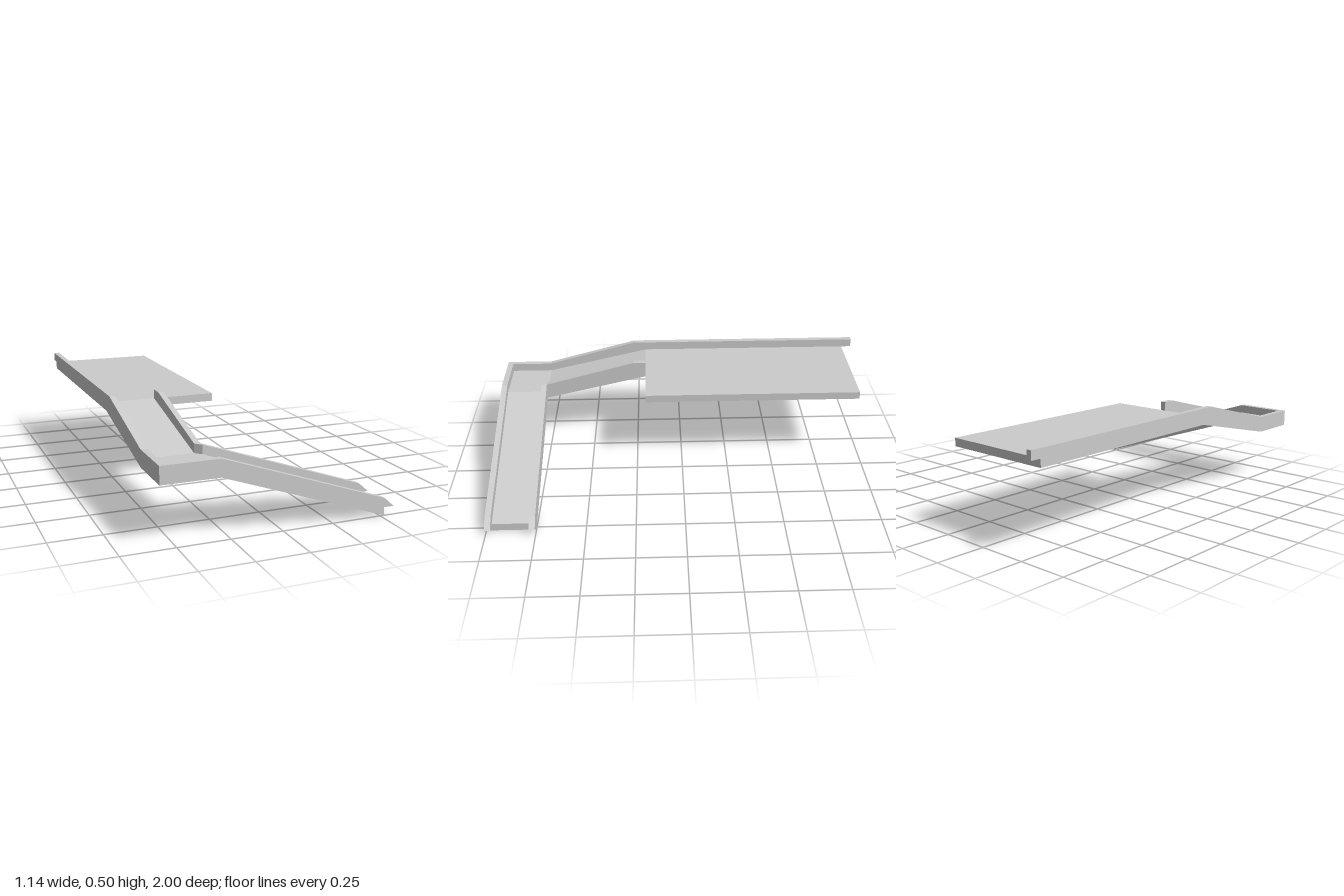
import * as THREE from 'three';

const material = new THREE.MeshStandardMaterial({ color: 0xcccccc, flatShading: true, side: THREE.DoubleSide });

// Outer and inner edges of the walkway
const L = -0.573, LI = -0.545, RI = -0.325, R = -0.297, END = 0.52, TIP = 0.571;
const FRONT = 1, FRONT_IN = 0.97, BACK_IN = 0.78, BACK = 0.75, TOP_Z = 0.195, CREST = 0.26;
// Heights: underside, walking surface and curb top at the landing and the platform
const LOW = 0.285, LOW_F = 0.325, LOW_C = 0.369;
const HIGH = 0.413, HIGH_F = 0.453, HIGH_C = 0.498;

function extrude(points, depth) {
  const shape = new THREE.Shape(points.map(([x, y]) => new THREE.Vector2(x, y)));
  return new THREE.ExtrudeGeometry(shape, { depth, bevelEnabled: false });
}

// Profile in x, y swept from z0 to z1
const alongZ = (points, z0, z1) => extrude(points, z1 - z0).translate(0, 0, z0);

// Profile in z, y swept from x0 to x1
const alongX = (points, x0, x1) =>
  extrude(points.map(([z, y]) => [-z, y]), x1 - x0).rotateY(Math.PI / 2).translate(x0, 0, 0);

// Outline in x, z swept from y0 to y1
const alongY = (points, y0, y1) =>
  extrude(points.map(([x, z]) => [x, -z]), y1 - y0).rotateX(-Math.PI / 2).translate(0, y0, 0);

export function createModel() {
  const group = new THREE.Group();
  const add = (name, geometry) => {
    const mesh = new THREE.Mesh(geometry, material);
    mesh.name = name;
    group.add(mesh);
  };

  // Walking surfaces
  add('landingAndLowerRamp', alongZ([
    [L, LOW], [R, LOW], [END, 0], [END, 0.04], [R, LOW_F], [L, LOW_F],
  ], BACK, FRONT));
  add('upperRamp', alongX([
    [BACK, LOW], [TOP_Z, HIGH], [TOP_Z, HIGH_F], [BACK, LOW_F],
  ], L, R));
  add('platform', alongY([
    [L, TOP_Z], [-0.013, TOP_Z], [-0.013, -0.947], [L, -0.947],
  ], HIGH, HIGH_F));

  // Curbs of the lower ramp, with pointed ends past the foot
  const rampCurb = [[R, LOW_F], [END, 0.04], [TIP, 0.04], [END, 0.085], [R, LOW_C]];
  add('frontCurb', alongZ([[L, LOW_F], ...rampCurb, [L, LOW_C]], FRONT_IN, FRONT));
  add('backCurb', alongZ(rampCurb, BACK, BACK_IN));

  // Chamfered corner where the inner curbs meet
  add('cornerCurb', alongY([[RI, BACK], [R, BACK], [R, BACK_IN]], LOW_F, LOW_C));

  // Curbs of the upper ramp; the outer one runs on past the platform
  add('innerCurb', alongX([
    [BACK, LOW_F], [TOP_Z, HIGH_F], [TOP_Z, HIGH_C], [CREST, HIGH_C], [BACK, LOW_C],
  ], RI, R));
  add('outerCurb', alongX([
    [FRONT_IN, LOW_F], [BACK, LOW_F], [TOP_Z, HIGH_F], [-1, HIGH_F],
    [-1, HIGH_C], [CREST, HIGH_C], [BACK, LOW_C], [FRONT_IN, LOW_C],
  ], L, LI));

  return group;
}
